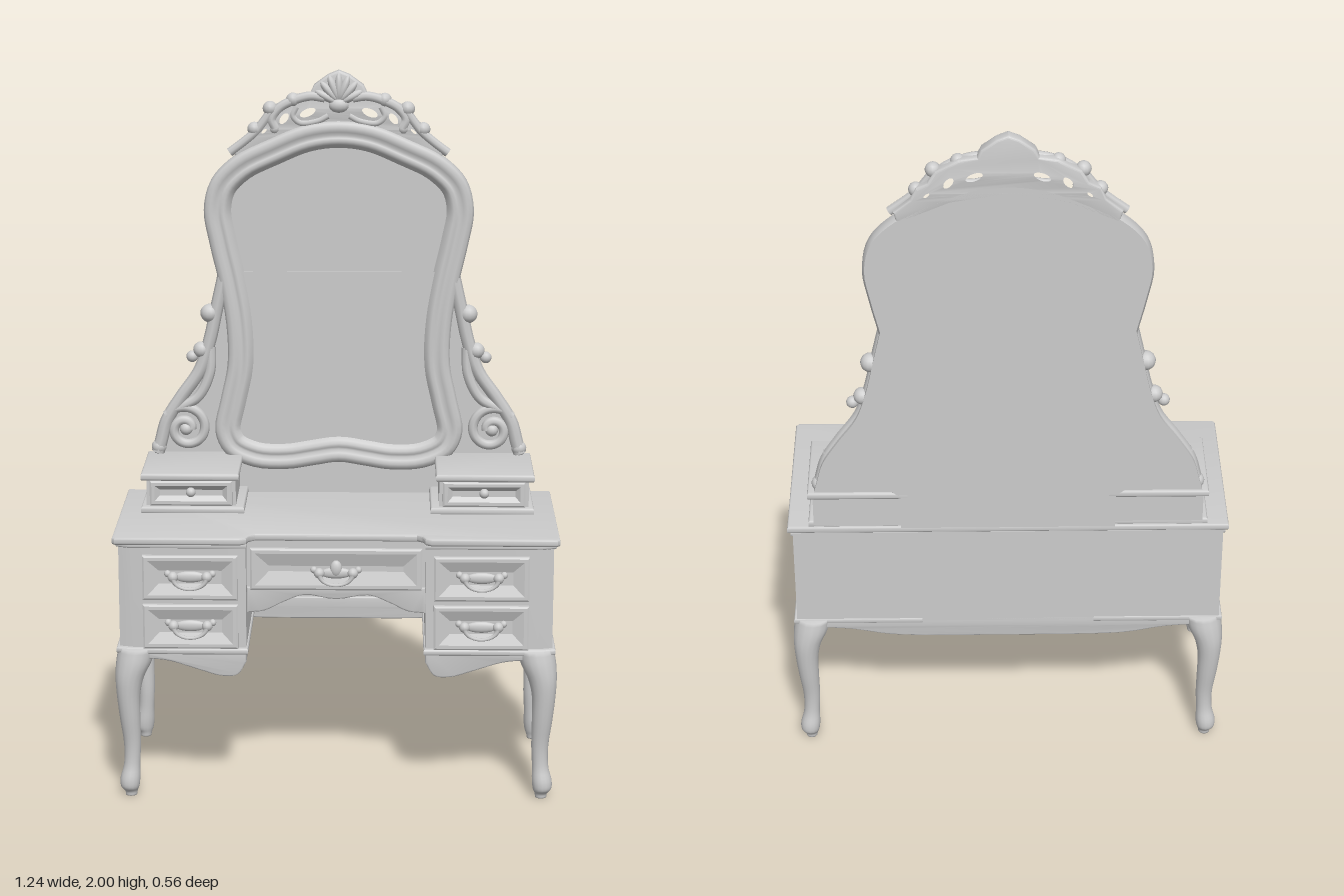
import * as THREE from 'three';
import { toCreasedNormals } from 'three/addons/utils/BufferGeometryUtils.js';

const mat = new THREE.MeshStandardMaterial({ color: 0xcccccc });
const V = (x, y, z = 0) => new THREE.Vector3(x, y, z);
const flip = (pts, s) => pts.map(([x, y]) => [x * s, y]);

function add(parent, name, geo, x = 0, y = 0, z = 0) {
  const m = new THREE.Mesh(geo, mat);
  m.name = name;
  m.position.set(x, y, z);
  parent.add(m);
  return m;
}

// Skin through closed rings of points; capped ends close on the ring centre
function loft(rings, capStart, capEnd, flat) {
  const centre = (r) => {
    const c = r.reduce((a, p) => a.add(p), V(0, 0)).divideScalar(r.length);
    return r.map(() => c);
  };
  const all = [...rings];
  if (capStart) all.unshift(centre(rings[0]));
  if (capEnd) all.push(centre(rings[rings.length - 1]));
  const n = rings[0].length, idx = [];
  for (let j = 0; j < all.length - 1; j++) for (let i = 0; i < n; i++) {
    const k = (i + 1) % n, a = j * n, b = a + n;
    idx.push(a + i, b + i, a + k, a + k, b + i, b + k);
  }
  let g = new THREE.BufferGeometry().setFromPoints(all.flat());
  g.setIndex(idx);
  if (flat) g = g.toNonIndexed();
  g.computeVertexNormals();
  return g;
}

const smooth = (pts, n, closed = false) =>
  new THREE.CatmullRomCurve3(pts.map(([x, y, z]) => V(x, y, z || 0)), closed).getPoints(n);

function extrude(shape, depth, bevel = 0) {
  const g = new THREE.ExtrudeGeometry(shape, {
    depth: depth - 2 * bevel, bevelEnabled: bevel > 0, bevelSize: bevel,
    bevelThickness: bevel, bevelOffset: -bevel, bevelSegments: 3, curveSegments: 12,
  });
  g.translate(0, 0, bevel);
  return toCreasedNormals(g, 0.6);
}

// Horizontal slab from a plan of [x, z] corners
function slab(plan, y0, y1, bevel = 0) {
  const shape = new THREE.Shape(plan.map(([x, z]) => new THREE.Vector2(x, -z)));
  return extrude(shape, y1 - y0, bevel).rotateX(-Math.PI / 2).translate(0, y0, 0);
}

// Board with a straight top and a curved lower edge
function apron(pts, top, depth) {
  const s = new THREE.Shape([[pts[0][0], top], ...smooth(pts, 32).map((p) => [p.x, p.y]),
    [pts[pts.length - 1][0], top]].map(([x, y]) => new THREE.Vector2(x, y)));
  return extrude(s, depth, 0.004);
}

// Drawer front with raised border and sunk, sloping field
function drawerFront(w, h, slope) {
  const rings = [[0, 0], [0, 0.01], [0.005, 0.013], [0.014, 0.013], [slope, 0.001]].map(([d, z]) => {
    const x = w / 2 - d, y = h / 2 - d;
    return [V(-x, y, z), V(x, y, z), V(x, -y, z), V(-x, -y, z)];
  });
  return loft(rings, false, true, true);
}

// Hanging bail pull with two rosettes and a back plate
function addHandle(parent, x, y, z) {
  const g = new THREE.Group();
  g.name = 'drawerHandle';
  g.position.set(x, y, z);
  const bail = add(g, 'bail', new THREE.TorusGeometry(0.045, 0.007, 8, 20, Math.PI), 0, 0, 0.02);
  bail.rotation.z = Math.PI;
  bail.scale.y = 0.65;
  for (const s of [-1, 1]) {
    add(g, 'rosette', new THREE.SphereGeometry(0.015, 12, 8), s * 0.047, 0.004, 0.012);
    add(g, 'leafTip', new THREE.SphereGeometry(0.01, 10, 8), s * 0.062, 0.012, 0.006);
  }
  add(g, 'backPlate', new THREE.SphereGeometry(1, 16, 10), 0, 0.002, 0.003).scale.set(0.045, 0.016, 0.009);
  parent.add(g);
}

const tube = (pts, r, n = 40) => new THREE.TubeGeometry(
  new THREE.CatmullRomCurve3(pts.map(([x, y, z]) => V(x, y, z))), n, r, 8);

function addLegs(parent) {
  // [height, offset from centre, radius]
  const profile = [[0, 0.58, 0.016], [0.012, 0.58, 0.018], [0.026, 0.583, 0.026], [0.05, 0.582, 0.028],
    [0.09, 0.577, 0.023], [0.15, 0.575, 0.024], [0.23, 0.58, 0.029], [0.3, 0.583, 0.033],
    [0.35, 0.579, 0.04], [0.395, 0.567, 0.05], [0.435, 0.558, 0.052]];
  const curve = new THREE.CatmullRomCurve3(profile.map((p) => V(...p)));
  for (const sx of [-1, 1]) for (const sz of [-1, 1]) {
    const rings = curve.getPoints(36).map((p) => Array.from({ length: 16 }, (_, i) => {
      const a = i / 16 * Math.PI * 2;
      return V(sx * p.y + p.z * Math.cos(a), Math.max(0, p.x), sz * (p.y - 0.34) + p.z * Math.sin(a));
    }));
    add(parent, 'cabrioleLeg', loft(rings, true, true));
  }
}

function addDesk(g) {
  addLegs(g);
  for (const s of [-1, 1]) {
    // Pedestal with two drawers
    add(g, 'pedestal', slab(flip([[0.25, 0.245], [0.565, 0.245], [0.605, 0.233], [0.605, -0.245], [0.25, -0.245]], s), 0.43, 0.745));
    add(g, 'baseMoulding', slab(flip([[0.245, 0.258], [0.575, 0.258], [0.614, 0.245], [0.614, -0.252], [0.245, -0.252]], s), 0.422, 0.44, 0.005));
    add(g, 'underTopMoulding', slab(flip([[0.248, 0.255], [0.572, 0.255], [0.612, 0.24], [0.612, -0.245], [0.248, -0.245]], s), 0.73, 0.745, 0.004));
    for (const y of [0.645, 0.503]) {
      add(g, 'pedestalDrawer', drawerFront(0.265, 0.128, 0.045), s * 0.405, y, 0.245);
      addHandle(g, s * 0.405, y, 0.247);
    }
    // Curved aprons
    add(g, 'frontApron', apron(flip([[0.25, 0.4], [0.275, 0.362], [0.32, 0.358], [0.39, 0.378], [0.47, 0.402], [0.57, 0.41]], s), 0.435, 0.022), 0, 0, 0.23);
    const side = [[-0.22, 0.408], [-0.13, 0.395], [-0.07, 0.374], [0, 0.366], [0.07, 0.374], [0.13, 0.395], [0.22, 0.408]];
    add(g, 'sideApron', apron(side, 0.435, 0.02), s * 0.592 - 0.01).rotation.y = Math.PI / 2;
    add(g, 'innerApron', apron([[-0.25, 0.4], [-0.2, 0.38], [0, 0.395], [0.2, 0.375], [0.24, 0.4]], 0.435, 0.015), s * 0.26 - 0.0075).rotation.y = Math.PI / 2;
  }
  // Knee space
  add(g, 'centreDrawerCase', new THREE.BoxGeometry(0.5, 0.155, 0.44), 0, 0.6675, -0.02);
  add(g, 'centreDrawer', drawerFront(0.48, 0.12, 0.052), 0, 0.658, 0.2);
  addHandle(g, 0, 0.645, 0.203);
  add(g, 'handleMedallion', new THREE.SphereGeometry(1, 14, 10), 0, 0.66, 0.207).scale.set(0.017, 0.024, 0.012);
  add(g, 'archedApron', apron([[-0.25, 0.53], [-0.2, 0.536], [-0.15, 0.56], [-0.09, 0.582], [0, 0.57],
    [0.09, 0.582], [0.15, 0.56], [0.2, 0.536], [0.25, 0.53]], 0.605, 0.022), 0, 0, 0.185);
  add(g, 'backPanel', new THREE.BoxGeometry(1.21, 0.315, 0.015), 0, 0.5875, -0.2425);
  add(g, 'backApron', apron([[-0.57, 0.408], [-0.45, 0.4], [-0.34, 0.38], [-0.2, 0.374], [0, 0.374],
    [0.2, 0.374], [0.34, 0.38], [0.45, 0.4], [0.57, 0.408]], 0.44, 0.02), 0, 0, -0.25);
  const half = [[0.62, -0.25], [0.62, 0.262], [0.612, 0.27], [0.265, 0.27], [0.248, 0.26], [0.24, 0.235], [0.225, 0.222]];
  add(g, 'tableTop', slab([...half, ...flip(half, -1).reverse()], 0.743, 0.764, 0.006));
}

function addSmallDrawers(g) {
  for (const s of [-1, 1]) {
    add(g, 'smallDrawerBase', slab(flip([[0.265, 0.012], [0.56, 0.012], [0.56, -0.245], [0.265, -0.245]], s), 0.76, 0.782, 0.007));
    add(g, 'smallDrawerCase', new THREE.BoxGeometry(0.255, 0.1, 0.24), s * 0.4175, 0.815, -0.125);
    add(g, 'smallDrawerFront', drawerFront(0.235, 0.073, 0.028), s * 0.4175, 0.82, -0.006);
    add(g, 'smallDrawerTop', slab(flip([[0.28, 0.015], [0.56, 0.015], [0.56, -0.25], [0.28, -0.25]], s), 0.858, 0.88, 0.007));
    add(g, 'smallKnob', new THREE.SphereGeometry(0.014, 14, 10), s * 0.4175, 0.825, 0.01);
  }
}

function addMirror(g) {
  // Frame outline, clockwise from the top
  const half = [[0.1, 1.842], [0.2, 1.802], [0.3, 1.752], [0.365, 1.685], [0.386, 1.6], [0.37, 1.5], [0.345, 1.39],
    [0.325, 1.27], [0.322, 1.15], [0.342, 1.05], [0.36, 0.95], [0.33, 0.882], [0.25, 0.842], [0.15, 0.836], [0.07, 0.848]];
  const ctrl = [[0, 1.855], ...half, [0, 0.858], ...flip(half, -1).reverse()];
  const pts = smooth(ctrl, 128, true).slice(0, -1), n = pts.length;
  const inset = (d, z) => pts.map((p, i) => {
    const t = pts[(i + 1) % n].clone().sub(pts[(i + n - 1) % n]).normalize();
    return V(p.x + t.y * d, p.y - t.x * d, z);
  });
  const section = [[0.006, -0.25], [0, -0.24], [0, -0.215], [0.006, -0.205], [0.018, -0.201], [0.03, -0.204], [0.04, -0.211],
    [0.047, -0.206], [0.057, -0.204], [0.066, -0.21], [0.074, -0.222], [0.08, -0.232]];
  add(g, 'mirrorFrame', loft(section.map(([d, z]) => inset(d, z))));
  add(g, 'mirrorGlass', extrude(new THREE.Shape(inset(0.006, 0).map((p) => new THREE.Vector2(p.x, p.y))), 0.022), 0, 0, -0.25);

  // Carved side supports standing on the small drawers
  const edge = [[0.34, 1.42], [0.365, 1.31], [0.385, 1.22], [0.415, 1.13], [0.47, 1.05], [0.513, 0.98], [0.53, 0.92], [0.54, 0.885]];
  const outer = smooth(edge, 30).map((p) => [p.x, p.y]);
  const board = [...outer, [0.3, 0.885], [0.3, 0.76]];
  add(g, 'supportBoard', extrude(new THREE.Shape([...board, ...flip(board, -1).reverse()]
    .map(([x, y]) => new THREE.Vector2(x, y))), 0.028), 0, 0, -0.25);
  for (const s of [-1, 1]) {
    add(g, 'supportRim', tube(edge.map(([x, y]) => [s * (x - 0.012), y, -0.222]), 0.019));
    const spiral = Array.from({ length: 22 }, (_, i) => {
      const a = 0.6 + i * 0.42, r = 0.07 - i * 0.0026;
      return [s * (0.445 + r * Math.cos(a)), 0.955 + r * Math.sin(a), -0.219];
    });
    add(g, 'supportScroll', tube(spiral, 0.014, 90));
    add(g, 'scrollEye', new THREE.SphereGeometry(0.019, 14, 10), s * 0.445, 0.955, -0.219);
    add(g, 'innerLeaf', tube([[s * 0.37, 1.2, -0.222], [s * 0.375, 1.12, -0.218], [s * 0.41, 1.05, -0.218], [s * 0.46, 1.02, -0.22]], 0.015));
    for (const [x, y, r] of [[0.373, 1.298, 0.027], [0.398, 1.19, 0.024], [0.425, 1.17, 0.017], [0.525, 0.9, 0.022]])
      add(g, 'supportKnob', new THREE.SphereGeometry(r, 14, 10), s * x, y, -0.224);
  }
}

function addCrest(g) {
  // Pierced board
  const half = [[0.03, 1.986], [0.07, 1.957], [0.08, 1.935], [0.13, 1.928], [0.155, 1.912], [0.19, 1.895],
    [0.21, 1.86], [0.24, 1.845], [0.255, 1.812], [0.3, 1.775], [0.29, 1.74], [0.15, 1.8]];
  const shape = new THREE.Shape([[0, 1.998], ...half, [0, 1.825], ...flip(half, -1).reverse()]
    .map(([x, y]) => new THREE.Vector2(x, y)));
  for (const s of [-1, 1]) for (const [x, y, a, b, r] of [[0.088, 1.879, 0.03, 0.017, -0.4], [0.155, 1.862, 0.024, 0.016, -0.9], [0.212, 1.826, 0.016, 0.01, -0.7]])
    shape.holes.push(new THREE.Path().absellipse(s * x, y, a, b, 0, Math.PI * 2, true, s * r));
  add(g, 'crestBoard', extrude(shape, 0.035, 0.006), 0, 0, -0.25);
  for (const s of [-1, 1]) {
    const scroll = (pts, r) => add(g, 'crestScroll', tube(pts.map(([x, y]) => [s * x, y, -0.22]), r));
    scroll([[0.04, 1.92], [0.08, 1.925], [0.13, 1.912], [0.17, 1.89], [0.19, 1.86], [0.18, 1.835]], 0.014);
    scroll([[0.19, 1.885], [0.215, 1.85], [0.235, 1.825], [0.27, 1.795], [0.31, 1.765]], 0.013);
    scroll([[0.03, 1.87], [0.06, 1.855], [0.11, 1.85], [0.13, 1.87], [0.12, 1.895]], 0.01);
    for (const [x, y, r] of [[0.13, 1.915, 0.02], [0.195, 1.89, 0.021], [0.24, 1.832, 0.02], [0.183, 1.833, 0.016]])
      add(g, 'crestKnob', new THREE.SphereGeometry(r, 12, 8), s * x, y, -0.224);
  }
  // Fan shell at the peak
  for (let i = -3; i <= 3; i++) {
    const a = i * 0.36, len = 0.044 - Math.abs(i) * 0.002;
    const rib = add(g, 'shellRib', new THREE.SphereGeometry(1, 12, 8), Math.sin(a) * 0.04, 1.9 + Math.cos(a) * 0.05, -0.221);
    rib.scale.set(0.013, len, 0.019);
    rib.rotation.z = -a;
  }
  add(g, 'shellHeart', new THREE.SphereGeometry(1, 14, 10), 0, 1.9, -0.22).scale.set(0.03, 0.022, 0.02);
}

export function createModel() {
  const model = new THREE.Group();
  model.name = 'dressingTable';
  for (const [name, build] of [['desk', addDesk], ['smallDrawers', addSmallDrawers], ['mirror', addMirror], ['crest', addCrest]]) {
    const part = new THREE.Group();
    part.name = name;
    build(part);
    model.add(part);
  }
  return model;
}
